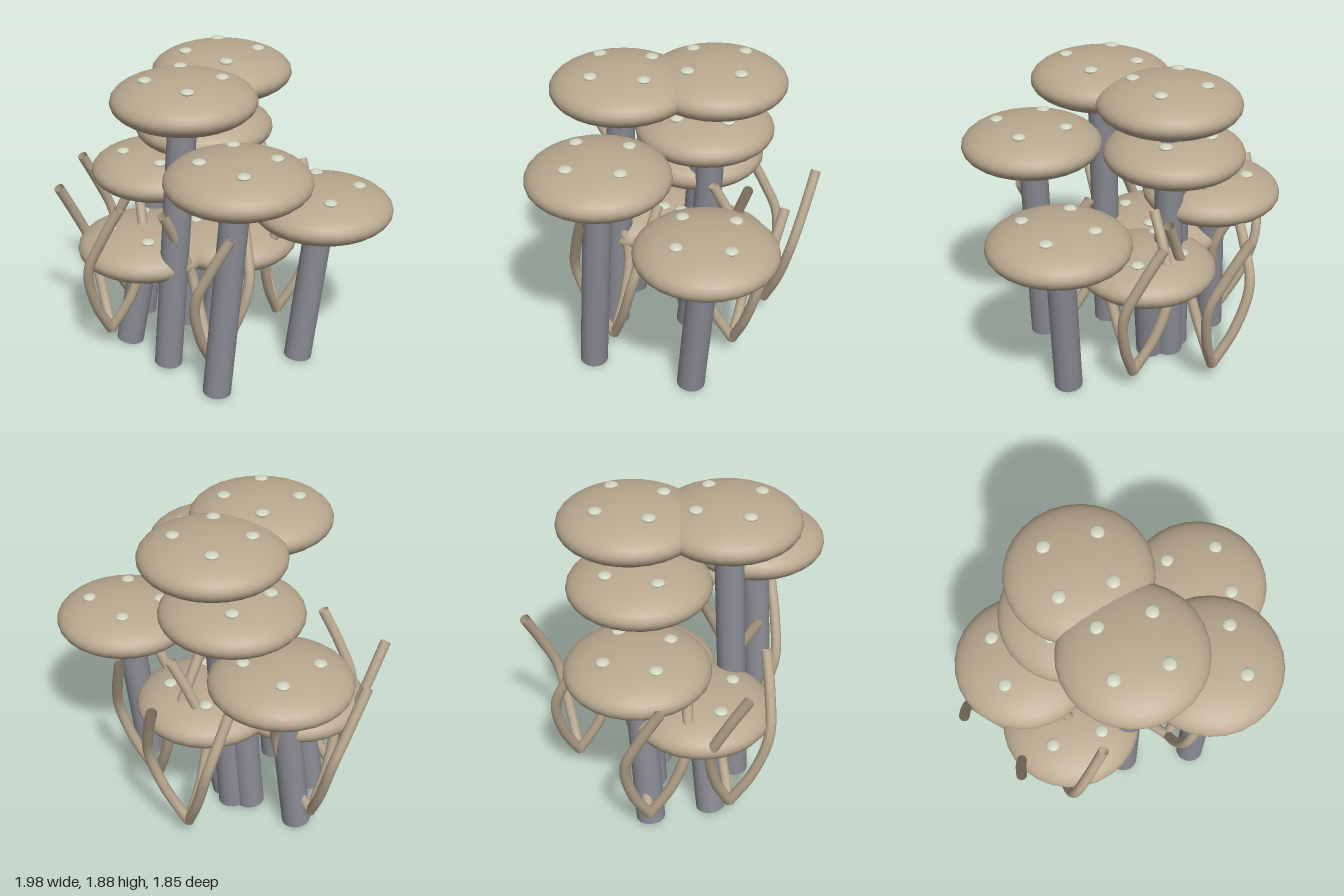
import * as THREE from 'three';

const capMat = new THREE.MeshStandardMaterial({ color: 0xb9a88f, side: THREE.DoubleSide });
capMat.name = 'tan';
const stemMat = new THREE.MeshStandardMaterial({ color: 0x8a8b93, side: THREE.DoubleSide });
stemMat.name = 'slate grey';
const spotMat = new THREE.MeshStandardMaterial({ color: 0xd0d4c0 });
spotMat.name = 'pale green';

const CAP_R = 0.417, CAP_H = 0.147, SPOT_OFFSET = 0.214, LEAN = 0.12;

// cap centres: x, y, z
const mushrooms = [
  [-0.23, 1.735, 0.15], [0.04, 1.735, -0.325],
  [0.03, 1.385, 0.505], [-0.067, 1.385, -0.335],
  [0.578, 1.035, 0.168], [-0.345, 1.035, -0.508],
  [-0.45, 0.68, -0.155], [0.08, 0.68, -0.215],
];

// sprout bases: x, z, heading of the first shoot in degrees
const sprouts = [
  [0.385, -0.215, -50], [-0.1, 0.34, 73], [0.18, -0.655, -51],
  [-0.545, -0.56, 196], [-0.69, -0.1, 195],
];

function add(parent, name, geometry, material) {
  const mesh = new THREE.Mesh(geometry, material);
  mesh.name = name;
  parent.add(mesh);
  return mesh;
}

function makeMushroom([x, y, z]) {
  const group = new THREE.Group();
  group.name = 'mushroom';

  // leaning hollow stem
  const base = new THREE.Vector3(x - LEAN, 0.014, z);
  const dir = new THREE.Vector3(x, y, z).sub(base);
  const length = dir.length();
  const stem = add(group, 'stem', new THREE.CylinderGeometry(0.085, 0.085, length, 24, 1, true), stemMat);
  stem.position.copy(base).addScaledVector(dir, 0.5);
  stem.quaternion.setFromUnitVectors(new THREE.Vector3(0, 1, 0), dir.normalize());

  // flattened round cap
  const cap = add(group, 'cap', new THREE.SphereGeometry(CAP_R, 28, 20), capMat);
  cap.scale.y = CAP_H / CAP_R;
  cap.position.set(x, y, z);

  // four spots lying on the cap
  const lift = CAP_H * Math.sqrt(1 - (SPOT_OFFSET / CAP_R) ** 2);
  for (let i = 0; i < 4; i++) {
    const a = (i * Math.PI) / 2;
    const spot = add(group, 'spot', new THREE.SphereGeometry(0.041, 14, 10), spotMat);
    spot.scale.y = 0.4;
    spot.position.set(x + SPOT_OFFSET * Math.cos(a), y + lift, z + SPOT_OFFSET * Math.sin(a));
  }
  return group;
}

// one shoot, swinging sideways before it reaches its tip
const shootCurve = new THREE.CatmullRomCurve3([
  new THREE.Vector3(0, 0.12, 0),
  new THREE.Vector3(0.075, 0.36, 0.11),
  new THREE.Vector3(0.145, 0.64, 0.165),
  new THREE.Vector3(0.215, 0.87, 0.095),
  new THREE.Vector3(0.28, 1.085, 0),
]);
const shootGeometry = new THREE.TubeGeometry(shootCurve, 28, 0.031, 12, false);

function makeSprout([x, z, heading]) {
  const group = new THREE.Group();
  group.name = 'sprout';
  group.position.set(x, 0, z);
  for (let i = 0; i < 3; i++) {
    const shoot = add(group, 'shoot', shootGeometry, capMat);
    shoot.rotation.y = -THREE.MathUtils.degToRad(heading + i * 120);
  }
  return group;
}

export function createModel() {
  const model = new THREE.Group();
  model.name = 'mushroomCluster';
  mushrooms.forEach((m) => model.add(makeMushroom(m)));
  sprouts.forEach((s) => model.add(makeSprout(s)));
  return model;
}
